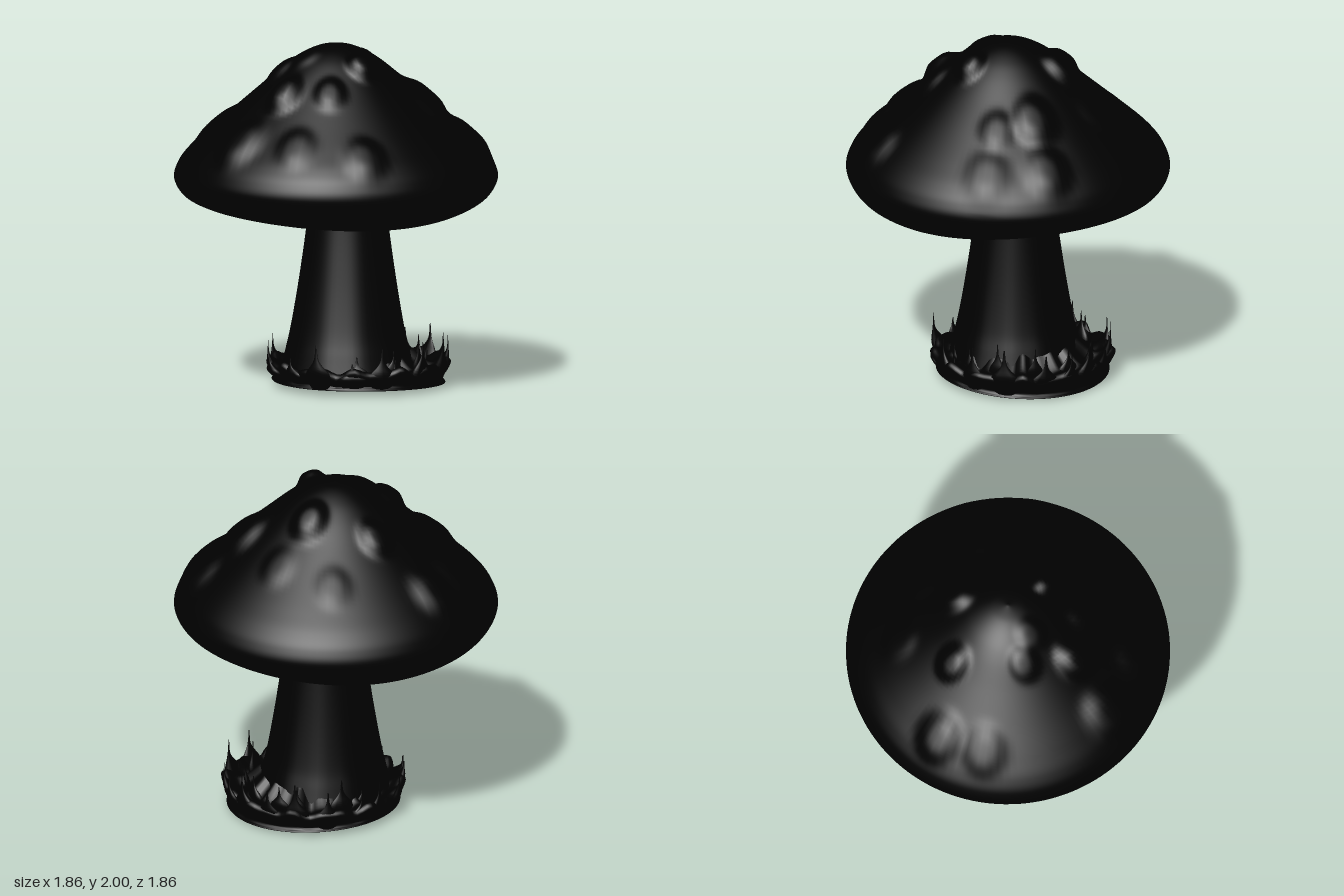
import * as THREE from 'three';
import { mergeVertices } from 'three/addons/utils/BufferGeometryUtils.js';

const material = new THREE.MeshStandardMaterial({ color: 0x000000 });

// Smooth lathe from a few profile points, listed from the bottom axis upwards.
function smoothLathe(profile, steps, sides) {
  const curve = new THREE.SplineCurve(profile.map(([r, y]) => new THREE.Vector2(r, y)));
  const points = curve.getPoints(steps);
  points.forEach((p) => { p.x = Math.max(p.x, 0); });
  return new THREE.LatheGeometry(points, sides);
}

// Moves every vertex by a rule, then welds the seam and smooths the normals.
function reshape(geometry, rule) {
  const pos = geometry.attributes.position;
  const nor = geometry.attributes.normal;
  const p = new THREE.Vector3();
  const n = new THREE.Vector3();
  for (let i = 0; i < pos.count; i++) {
    p.fromBufferAttribute(pos, i);
    n.fromBufferAttribute(nor, i);
    rule(p, n);
    pos.setXYZ(i, p.x, p.y, p.z);
  }
  geometry.deleteAttribute('uv');
  geometry.deleteAttribute('normal');
  const welded = mergeVertices(geometry, 1e-4);
  welded.computeVertexNormals();
  return welded;
}

function addPart(parent, name, geometry) {
  const mesh = new THREE.Mesh(geometry, material);
  mesh.name = name;
  parent.add(mesh);
  return mesh;
}

function seeded(seed) {
  return () => {
    seed = (seed * 16807) % 2147483647;
    return seed / 2147483647;
  };
}

// Cap with a hollow underside, a wavy rim and raised warts.
function buildCap() {
  const profile = [
    [0, 1.25], [0.2, 1.225], [0.35, 1.145], [0.5, 1.06], [0.64, 1.02], [0.76, 1.043],
    [0.875, 1.11], [0.93, 1.21], [0.908, 1.3], [0.85, 1.38], [0.755, 1.47], [0.6, 1.605],
    [0.45, 1.735], [0.3, 1.865], [0.2, 1.935], [0.1, 1.98], [0, 1.998],
  ];
  // Warts: x, z, radius, height
  const warts = [
    [0.26, -0.18, 0.09, 0.05], [-0.2, 0.02, 0.08, 0.015], [-0.41, 0.17, 0.09, 0.06],
    [-0.3, -0.1, 0.08, 0.025], [0.49, 0.17, 0.11, 0.045], [0.73, 0.25, 0.11, 0.035],
    [-0.71, 0.2, 0.12, 0.04], [0.02, 0.27, 0.07, 0.055], [-0.04, -0.41, 0.08, 0.045],
    [-0.28, -0.68, 0.11, 0.04], [-0.2, 0.76, 0.1, 0.03], [-0.22, 0.36, 0.08, 0.03],
    [0.42, 0.38, 0.09, 0.025], [0.5, -0.25, 0.09, 0.015], [-0.5, -0.52, 0.11, 0.025],
    [-0.52, 0.52, 0.1, 0.025], [0.56, 0.55, 0.11, 0.02], [0.3, -0.55, 0.09, 0.015],
  ];
  return reshape(smoothLathe(profile, 120, 128), (p, n) => {
    const r2 = p.x * p.x + p.z * p.z;
    if (p.y > 1.25 && n.y > 0) {
      let lift = 0;
      for (const [x, z, radius, height] of warts) {
        const d2 = ((p.x - x) ** 2 + (p.z - z) ** 2) / (radius * radius);
        lift += height * Math.exp(-d2 * d2);
      }
      p.addScaledVector(n, lift);
    } else if (p.y < 1.25 && r2 > 0) {
      const cos2 = (p.z * p.z - p.x * p.x) / r2;
      p.y -= 0.02 * cos2 * Math.min(1, r2 / 0.3) * THREE.MathUtils.clamp((1.25 - p.y) / 0.2, 0, 1);
    }
  });
}

// Tapering stem, flared at the foot.
function buildStem() {
  const profile = [
    [0.4, 0.04], [0.36, 0.2], [0.325, 0.35], [0.275, 0.65], [0.228, 1.0], [0.21, 1.25],
  ];
  return reshape(smoothLathe(profile, 32, 64), (p) => {
    const angle = Math.atan2(p.z, p.x);
    const grooves = 1 + 0.006 * Math.sin(angle * 11) * (1.25 - p.y);
    p.x = p.x * grooves + 0.075 + 0.02 * Math.max(0, 0.3 - p.y);
    p.z *= grooves;
  });
}

// Lumpy mound around the foot with a thin flange and a slightly domed bottom.
function buildMound() {
  const profile = [
    [0, 0.004], [0.3, 0.008], [0.48, 0.018], [0.495, 0.03], [0.485, 0.05], [0.51, 0.09],
    [0.52, 0.13], [0.49, 0.15], [0.43, 0.12], [0.38, 0.13], [0.3, 0.2],
  ];
  return reshape(smoothLathe(profile, 48, 112), (p) => {
    const r = Math.hypot(p.x, p.z);
    const angle = Math.atan2(p.z, p.x);
    const lumps = Math.sin(angle * 13) + 0.6 * Math.sin(angle * 21 + 1);
    const up = THREE.MathUtils.clamp((p.y - 0.03) / 0.08, 0, 1);
    const k = 1 + 0.02 * lumps * up;
    const tilt = r > 0.1 && p.y < 0.06 ? 0.012 * (p.z / 0.5) ** 2 - 0.012 * (p.x / 0.5) : 0;
    p.set(p.x * k + 0.145, Math.max(0, p.y + tilt + 0.014 * lumps * up), p.z * k);
  });
}

// Leafy blade: wide flat base drawn out to a thin tip, curving outwards then up.
function buildBlade(height, width, bend) {
  const profile = [[0.3, -0.15], [0.5, 0.1], [0.44, 0.3], [0.2, 0.5], [0.07, 0.68], [0.02, 1]];
  return reshape(smoothLathe(profile, 16, 10), (p) => {
    const t = Math.max(p.y, 0);
    p.set(p.x * width, p.y * height, p.z * width * 0.35 + bend * Math.sin(Math.min(t * 2.2, 1.6)));
  });
}

// A ring of blades of uneven height; those at the sides flare out furthest.
function buildBladeRing(name, count, radius, base, tipLow, tipHigh, width, bend, random) {
  const ring = new THREE.Group();
  ring.name = name;
  for (let i = 0; i < count; i++) {
    const angle = ((i + 0.5 * random()) / count) * Math.PI * 2;
    const tip = THREE.MathUtils.lerp(tipLow, tipHigh, random());
    const r = radius + 0.03 * (random() - 0.5);
    const flare = bend * (0.3 + 0.7 * Math.abs(Math.sin(angle)));
    const blade = addPart(ring, 'grassBlade', buildBlade(tip - base, width * (0.8 + 0.4 * random()), flare));
    blade.position.set(0.14 + r * Math.sin(angle), base, r * Math.cos(angle));
    blade.rotation.y = angle;
  }
  return ring;
}

export function createModel() {
  const model = new THREE.Group();
  model.name = 'mushroom';
  const random = seeded(77);

  addPart(model, 'cap', buildCap());
  addPart(model, 'stem', buildStem());
  addPart(model, 'mound', buildMound());
  model.add(buildBladeRing('outerGrass', 18, 0.475, 0.07, 0.19, 0.32, 0.16, 0.06, random));
  model.add(buildBladeRing('innerGrass', 13, 0.385, 0.1, 0.2, 0.32, 0.12, 0.02, random));
  return model;
}
